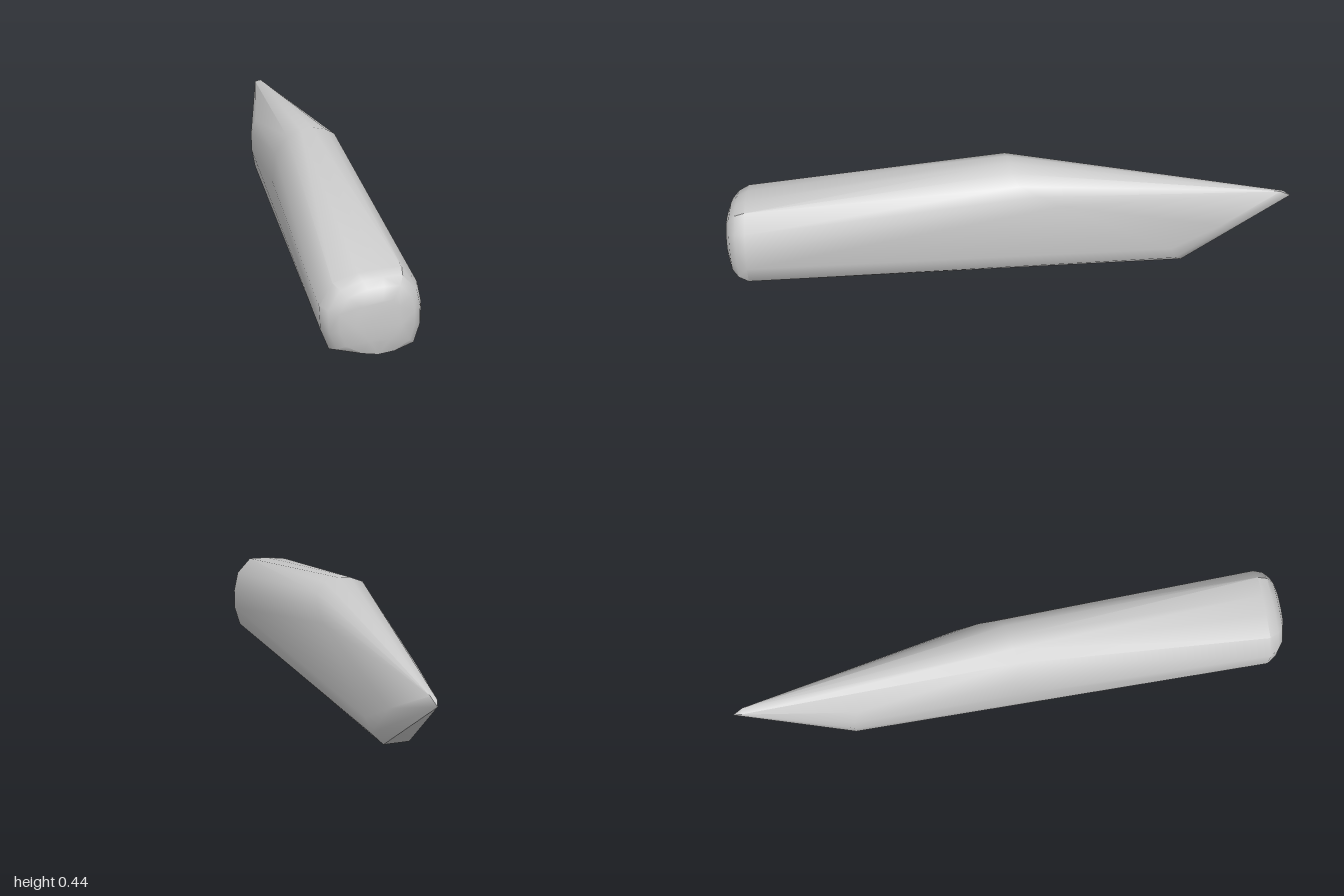
import * as THREE from 'three';
import { ConvexGeometry } from 'three/addons/geometries/ConvexGeometry.js';
import { toCreasedNormals } from 'three/addons/utils/BufferGeometryUtils.js';

// Outline of the blunt front end (x, y), going round once
const frontOutline = [
  [-0.222, 0.21], [-0.217, 0.125], [-0.19, 0.055], [-0.12, 0.015], [-0.05, 0.004],
  [0.02, 0.015], [0.085, 0.06], [0.105, 0.13], [0.105, 0.2], [0.09, 0.27],
  [0.04, 0.325], [-0.03, 0.325], [-0.1, 0.317], [-0.18, 0.287],
];

// Arched ridge across the middle and the shoulders beside it
const ridge = [
  [-0.08, 0.25, 0], [-0.06, 0.35, -0.03], [-0.025, 0.42, 0], [0.025, 0.44, 0],
  [0.07, 0.443, 0], [0.12, 0.43, 0], [0.16, 0.4, -0.02], [0.183, 0.365, -0.08], [0.2, 0.325, -0.16],
];

// Keel corner where the underside turns up towards the tip
const keel = [
  [0.222, 0.18, -0.74], [0.222, 0.1, -0.56], [0.212, 0.05, -0.58], [0.18, 0.015, -0.61],
  [0.1, 0, -0.48], [0.085, 0.014, -0.61], [0.045, 0.06, -0.6], [0.032, 0.13, -0.6],
  [0.03, 0.2, -0.6], [0.042, 0.26, -0.58],
];

const tip = [[0.18, 0.25, -1], [0.186, 0.275, -0.96], [0.168, 0.265, -0.975]];

// One ring of the rounded, slightly turned front cap
function capRing(scale, push) {
  return frontOutline.map(([x, y]) => {
    const px = -0.055 + (x + 0.055) * scale;
    const py = 0.185 + (y - 0.185) * scale;
    const under = py < 0.04 ? 0.05 : 0;
    return [px, py, 0.915 + 0.15 * (px + 0.06) + push - under];
  });
}

export function createModel() {
  const group = new THREE.Group();
  group.name = 'wedgeModel';

  // The body is the tight skin around its cross-sections
  const points = [
    ...capRing(1, 0), ...capRing(0.9, 0.035), ...capRing(0.74, 0.058), ...capRing(0.45, 0.073),
    ...ridge, ...keel, ...tip,
  ].map((p) => new THREE.Vector3(...p));
  const geometry = toCreasedNormals(new ConvexGeometry(points), 0.75);

  const body = new THREE.Mesh(geometry, new THREE.MeshStandardMaterial({ color: 0xcccccc }));
  body.name = 'taperedBody';
  group.add(body);
  return group;
}
